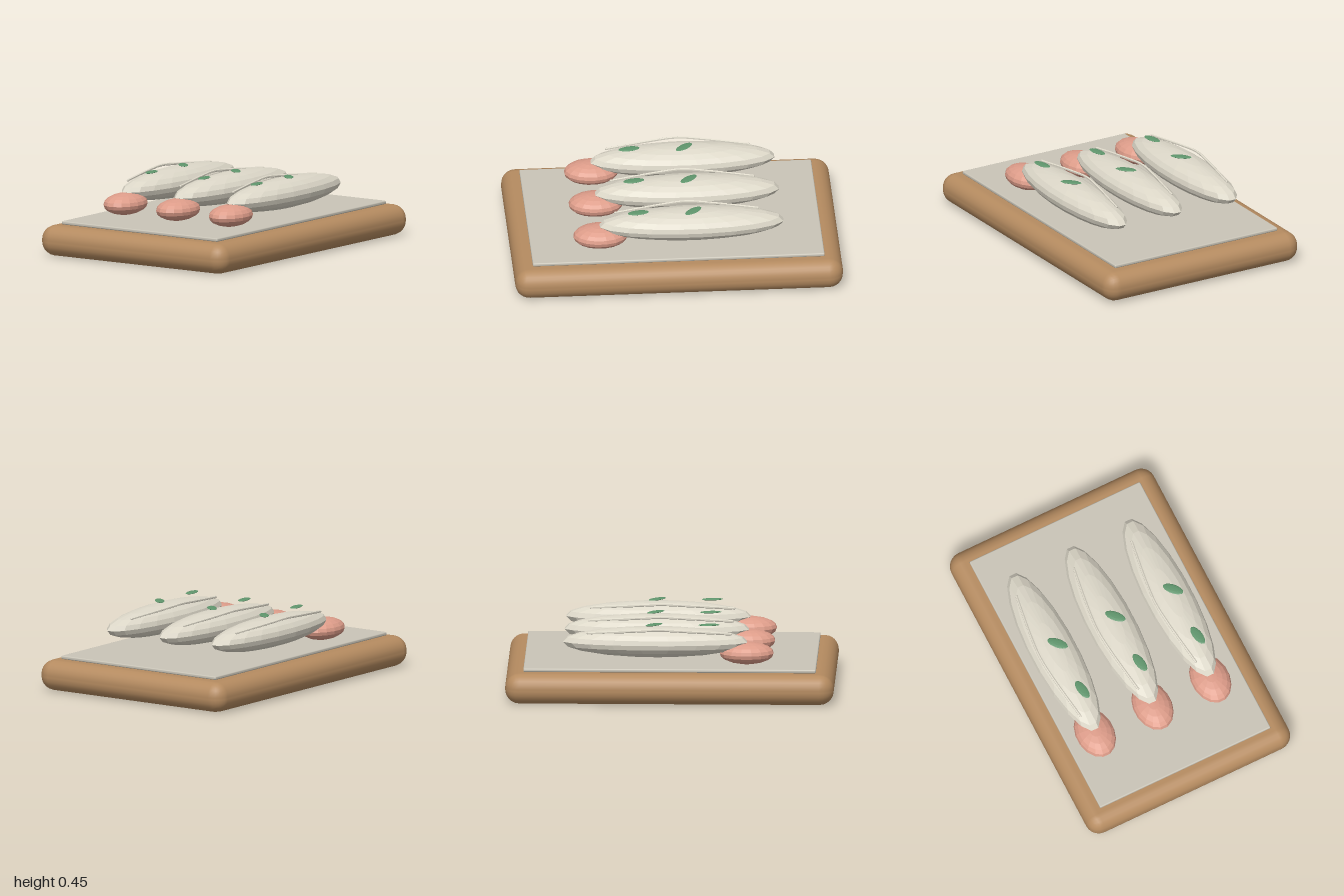
import * as THREE from 'three';
import { RoundedBoxGeometry } from 'three/addons/geometries/RoundedBoxGeometry.js';

const material = (name, color, flatShading = false) => {
  const m = new THREE.MeshStandardMaterial({ color, flatShading });
  m.name = name;
  return m;
};

export function createModel() {
  const wood = material('wood', 0xb58b60);
  const paper = material('paper', 0xc9c4b7);
  const cream = material('cream', 0xdcd7c8, true);
  const pink = material('pink', 0xdd9c89, true);
  const green = material('green', 0x5f956c, true);

  const group = new THREE.Group();
  const add = (parent, name, geometry, mat, x, y, z) => {
    const mesh = new THREE.Mesh(geometry, mat);
    mesh.name = name;
    mesh.position.set(x, y, z);
    parent.add(mesh);
    return mesh;
  };

  // Squashed low-poly ball, turned half a step so its ends are blunt
  const ellipsoid = (rx, ry, rz, segments, rings) =>
    new THREE.SphereGeometry(1, segments, rings)
      .rotateY(Math.PI / segments)
      .scale(rx / Math.cos(Math.PI / segments), ry, rz);

  // Rounded board with a thin sheet on top
  add(group, 'board', new RoundedBoxGeometry(2, 0.188, 1.38, 3, 0.088), wood, 0, 0.094, 0);
  add(group, 'sheet', new RoundedBoxGeometry(1.78, 0.022, 1.16, 2, 0.008), paper, 0, 0.2, 0);

  const rollShape = ellipsoid(0.56, 0.093, 0.144, 20, 10);
  const fillingShape = ellipsoid(0.163, 0.067, 0.118, 16, 10);
  const leafShape = new THREE.SphereGeometry(1, 14, 6).scale(0.066, 0.006, 0.029);

  // Raised seam arching along the back of each roll
  const seamPath = new THREE.CatmullRomCurve3([
    new THREE.Vector3(-0.37, 0.405, -0.05),
    new THREE.Vector3(-0.08, 0.428, -0.093),
    new THREE.Vector3(0.065, 0.437, -0.105),
    new THREE.Vector3(0.21, 0.428, -0.093),
    new THREE.Vector3(0.5, 0.405, -0.05),
  ]);
  const seamShape = new THREE.TubeGeometry(seamPath, 20, 0.008, 6);

  // Three filled rolls, each garnished with two leaves
  for (const z of [-0.404, -0.012, 0.381]) {
    const serving = new THREE.Group();
    serving.name = 'serving';
    serving.position.z = z;
    group.add(serving);

    add(serving, 'roll', rollShape, cream, 0.092, 0.347, 0);
    add(serving, 'filling', fillingShape, pink, -0.465, 0.28, 0);
    add(serving, 'seam', seamShape, cream, 0, 0, 0);
    // Flat caps closing the seam ends
    for (const t of [0, 1]) {
      const p = seamPath.getPoint(t);
      add(serving, 'seamEnd', new THREE.SphereGeometry(0.008, 6, 4), cream, p.x, p.y, p.z);
    }
    add(serving, 'leaf', leafShape, green, -0.235, 0.446, 0.03).rotation.y = 0.17;
    add(serving, 'leaf', leafShape, green, 0.1, 0.446, 0.03).rotation.y = 0.75;
  }
  return group;
}
